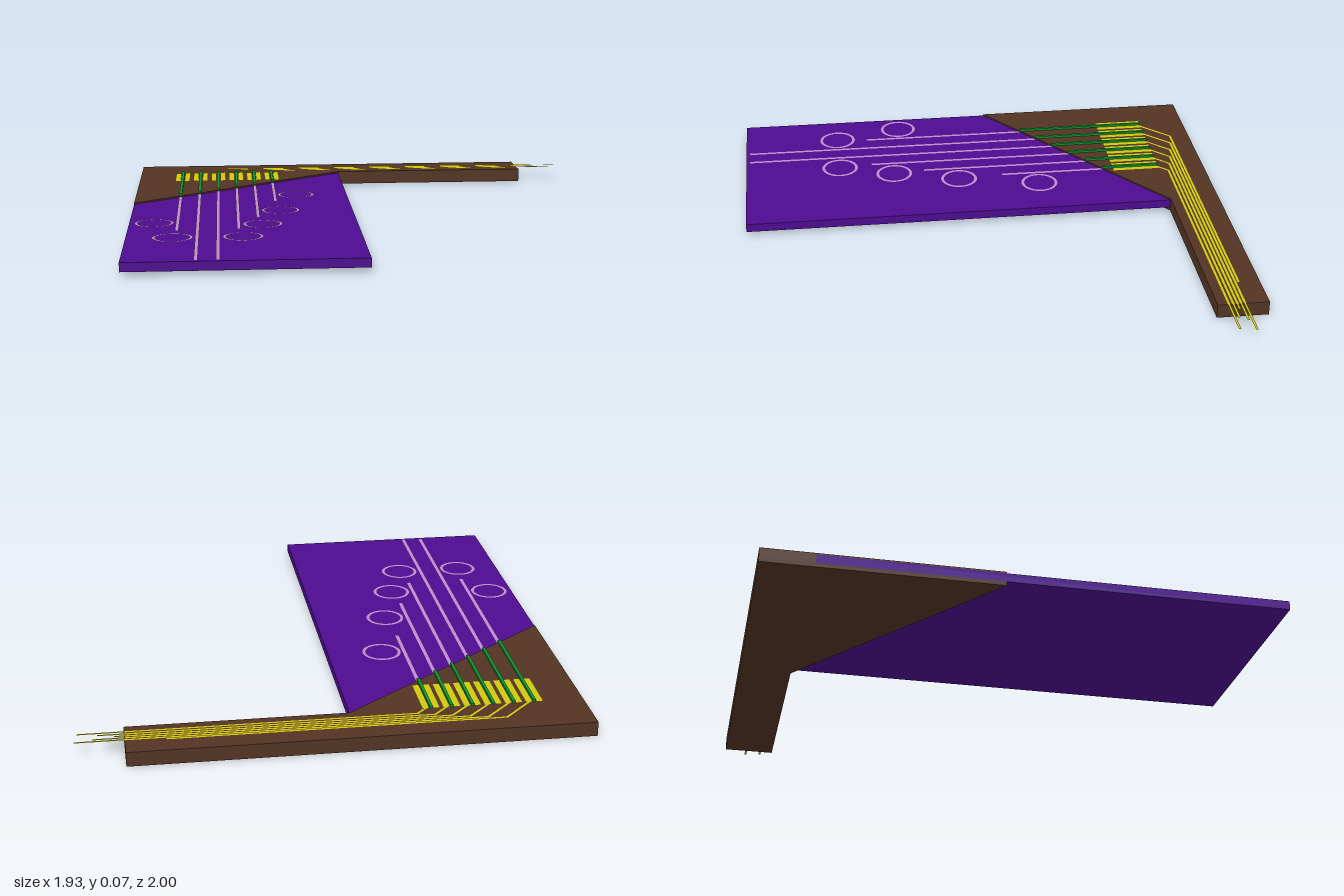
import * as THREE from 'three';

const mat = (name, color, flat) => {
  const m = new THREE.MeshStandardMaterial({ color });
  m.name = name;
  if (flat) m.side = THREE.DoubleSide;
  return m;
};

export function createModel() {
  const group = new THREE.Group();
  const brown = mat('brown board', 0x533424);
  const purple = mat('purple film', 0x4d0b90);
  const yellow = mat('yellow contact', 0xd0c80c, true);
  const green = mat('green wire', 0x0c9430);
  const pink = mat('pink electrode', 0xc08cc8, true);

  const add = (name, geometry, material) => {
    const mesh = new THREE.Mesh(geometry, material);
    mesh.name = name;
    group.add(mesh);
  };
  const outline = (pts) => new THREE.Shape(pts.map(([x, z]) => new THREE.Vector2(x, -z)));
  // Solid slab between two heights from an outline in x, z
  const slab = (pts, y0, y1) =>
    new THREE.ExtrudeGeometry(outline(pts), { depth: y1 - y0, bevelEnabled: false })
      .rotateX(-Math.PI / 2).translate(0, y0, 0);
  // Flat face at one height
  const sheet = (pts, y) => new THREE.ShapeGeometry(outline(pts)).rotateX(-Math.PI / 2).translate(0, y, 0);
  const rect = (x0, x1, z0, z1) => [[x0, z1], [x1, z1], [x1, z0], [x0, z0]];

  const L = -0.967, R = -0.064, ARM = 0.782, BACK = -1, INNER = -0.795, CUT = -0.095;
  const TOP = 0.057, FILM_LOW = 0.016, FILM_TOP = 0.051;
  const cutZ = (x) => CUT + (INNER - CUT) * (x - L) / (R - L);

  // Board: two cover layers around the film, and a solid arm along the back
  const cover = [[L, CUT], [R, INNER], [ARM, INNER], [ARM, BACK], [L, BACK]];
  add('boardBottom', slab(cover, 0, FILM_LOW), brown);
  add('boardTop', slab(cover, FILM_TOP, TOP), brown);
  add('boardArm', slab(rect(L, ARM, BACK, INNER), FILM_LOW, FILM_TOP), brown);

  // Film held between the covers
  add('film', slab(rect(L, R, INNER, 1), FILM_LOW, FILM_TOP), purple);

  // Six channels: green wire, pink line, pair of pads and a bent trace each
  const lineEnds = [0.46, 0.985, 0.985, 0.45, 0.225, -0.11];
  const traceZ = [0.915, 0.902, 0.887, 0.872, 0.856, 0.839];
  const traceEnds = [0.63, 0.967, 0.9, 0.82, 0.88, 0.955];
  for (let i = 0; i < 6; i++) {
    const x = -0.776 + i * 0.0802;
    const end = cutZ(x);
    add('wire', slab(rect(x - 0.006, x + 0.006, -0.8, end), TOP, 0.066), green);
    add('electrodeLine', sheet(rect(x - 0.007, x + 0.007, end, lineEnds[i]), FILM_TOP + 0.0015), pink);
    for (const s of [-1, 1]) {
      const px = x + s * 0.0205;
      add('pad', sheet(rect(px - 0.012, px + 0.012, -0.8, -0.6), TOP + 0.0015), yellow);
    }
    const w = 0.0045, h = traceZ[i], sx = x + 0.0205, bx = sx + h - 0.8;
    add('trace', sheet([
      [sx + w * 1.414, -0.8], [bx + 0.414 * w, -h + w], [traceEnds[i], -h + w],
      [traceEnds[i], -h - w], [bx - 0.414 * w, -h - w], [sx - w * 1.414, -0.8],
    ], TOP + 0.0015), yellow);
  }

  // Ring electrodes on the film
  const rings = [[-0.868, 0.31], [-0.789, 0.59], [-0.52, 0.59], [-0.44, 0.357], [-0.36, 0.08], [-0.283, -0.262]];
  for (const [x, z] of rings) {
    add('electrodeRing', new THREE.RingGeometry(0.066, 0.078, 48)
      .rotateX(-Math.PI / 2).translate(x, FILM_TOP + 0.0015, z), pink);
  }
  return group;
}
